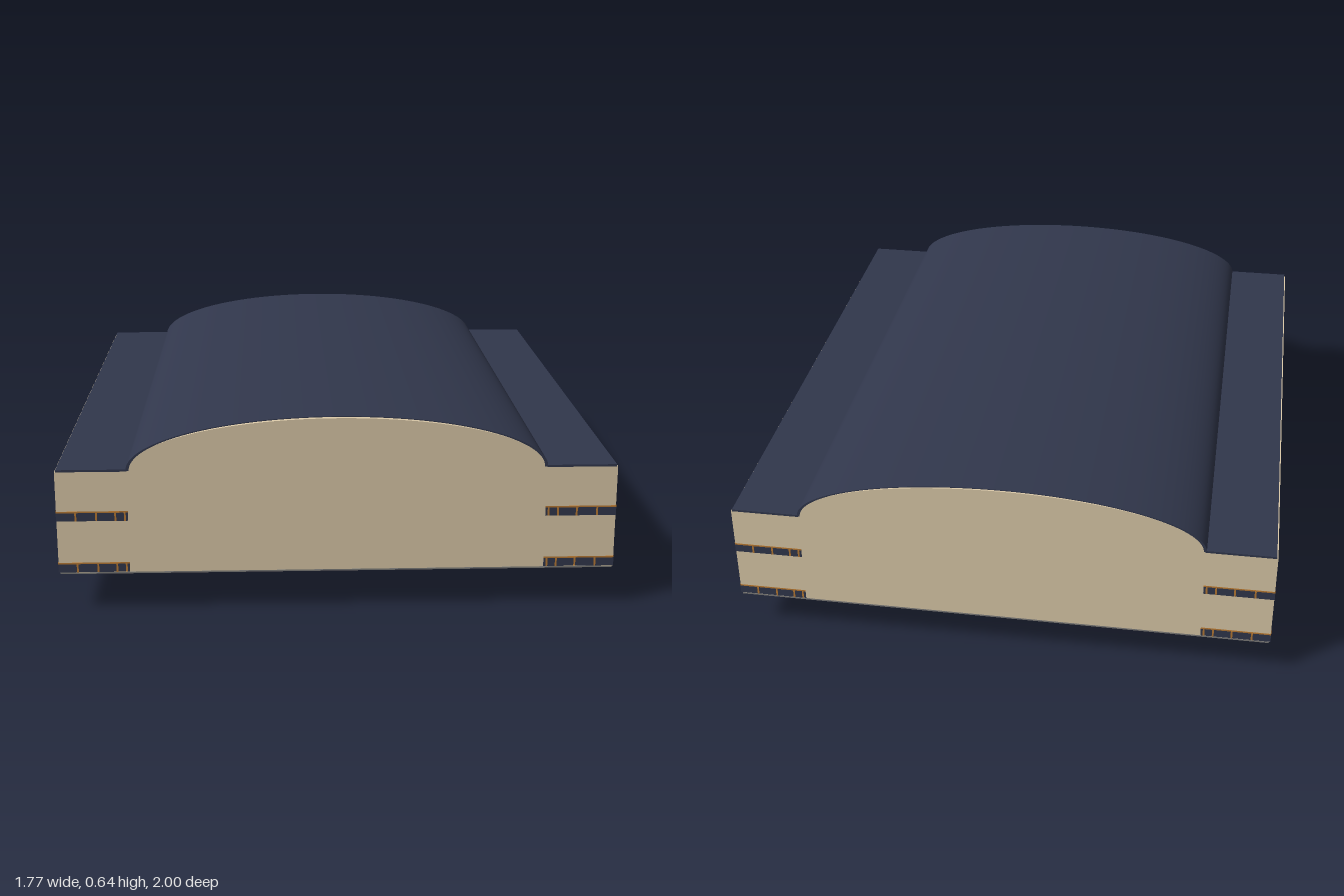
import * as THREE from 'three';

export function createModel() {
  const group = new THREE.Group();
  group.name = 'archedRoofBuilding';
  const mat = (name, color) => {
    const m = new THREE.MeshStandardMaterial({ color });
    m.name = name;
    return m;
  };
  const wall = mat('sandWall', 0xdccaa9);
  const navy = mat('navy', 0x31374c);
  const gold = mat('goldTrim', 0xb87a34);
  const pale = mat('paleTrim', 0xd8d4c8);
  const grey = mat('undersideGrey', 0x7c7b79);
  const brown = mat('undersideBrown', 0x7a4f3f);

  const W = 0.885, ROOF_W = 0.881, ARCH = 0.66, BASE = 0.131, EAVE = 0.465, RISE = 0.166;

  const add = (name, geometry, material) => {
    const m = new THREE.Mesh(geometry, material);
    m.name = name;
    group.add(m);
    return m;
  };
  // Box given by its lower and upper limits on each axis
  const box = (name, material, x0, x1, y0, y1, z0, z1) => {
    const m = add(name, new THREE.BoxGeometry(x1 - x0, y1 - y0, z1 - z0), material);
    m.position.set((x0 + x1) / 2, (y0 + y1) / 2, (z0 + z1) / 2);
  };

  // Walls: block with an elliptical gable
  const profile = new THREE.Shape();
  profile.moveTo(-W, BASE);
  profile.lineTo(W, BASE);
  profile.lineTo(W, EAVE);
  profile.lineTo(ARCH, EAVE);
  profile.absellipse(0, EAVE, ARCH, RISE, 0, Math.PI, false);
  profile.lineTo(-W, EAVE);
  const body = new THREE.ExtrudeGeometry(profile, { depth: 1.994, bevelEnabled: false, curveSegments: 48 });
  body.translate(0, 0, -0.997);
  add('walls', body, wall);

  // Roof: smooth arched skin with thin end rims, between two flat side strips
  const arch = new THREE.CylinderGeometry(1, 1, 1.996, 64, 1, true, Math.PI / 2, Math.PI);
  arch.rotateX(Math.PI / 2);
  arch.scale(ARCH + 0.003, RISE + 0.005, 1);
  arch.translate(0, EAVE + 0.002, 0);
  add('archedRoof', arch, navy);
  for (const turn of [0, Math.PI]) {
    const rim = new THREE.RingGeometry(0.985, 1, 64, 1, 0, Math.PI);
    rim.scale(ARCH + 0.003, RISE + 0.005, 1);
    rim.translate(0, EAVE + 0.002, 0.998);
    rim.rotateY(turn);
    add('roofRim', rim, navy);
  }
  for (const s of [-1, 1]) {
    const a = s * ARCH, b = s * ROOF_W;
    box('sideRoof', navy, Math.min(a, b), Math.max(a, b), EAVE, EAVE + 0.007, -0.998, 0.998);
  }

  // Underside: grey slab, brown panel and raised hatch
  box('undersideSlab', grey, -ROOF_W, ROOF_W, 0.126, BASE, -0.998, 0.998);
  box('undersidePanel', brown, -ARCH, ARCH, 0.1245, 0.127, -0.755, 0.66);
  box('hatch', brown, -0.385, 0.385, 0.1235, 0.125, -0.75, -0.317);

  // Window bands wrapping the four corners, with a gold rail and fine mullions
  const goldTicks = [0.765, 0.67, 0.61, 0.435, 0.354, 0.215, 0.06, -0.117, -0.175, -0.27,
    -0.435, -0.49, -0.59, -0.76, -0.79, -0.96];
  const paleTicks = [0.78, 0.448, 0.225, 0.118, -0.105, -0.447, -0.773];
  const endTicks = [0.67, 0.7, 0.76, 0.825];
  for (const y of [0.132, 0.303]) {
    const rail = y + 0.027, top = y + 0.034;
    for (const s of [-1, 1]) {
      const side = s * W;
      box('sideBand', navy, side - 0.001, side + 0.001, y, rail, -0.998, 0.998);
      box('sideRail', gold, side - 0.0012, side + 0.0012, rail, top, -0.998, 0.998);
      for (const [ticks, material] of [[goldTicks, gold], [paleTicks, pale]])
        for (const z of ticks)
          box('sideMullion', material, side - 0.0018, side + 0.0018, y, rail, z - 0.004, z + 0.004);
      for (const e of [-1, 1]) {
        const x0 = s > 0 ? ARCH : -W, x1 = s > 0 ? W : -ARCH, z = e * 0.997;
        box('endBand', navy, x0, x1, y, rail, z - 0.001, z + 0.001);
        box('endRail', gold, x0, x1, rail, top - 0.002, z - 0.0012, z + 0.0012);
        for (const t of endTicks)
          box('endMullion', gold, s * t - 0.003, s * t + 0.003, y, rail, z - 0.0018, z + 0.0018);
      }
    }
  }

  // Hanging flap under the rear, trimmed near its lower edge on both faces
  box('hangingFlap', navy, -0.385, 0.385, 0, 0.127, -0.776, -0.764);
  box('flapRail', gold, -0.385, 0.385, 0.029, 0.036, -0.7768, -0.7632);
  for (const x of [-0.29, -0.225, -0.115, -0.068, -0.05, 0.04, 0.06, 0.11, 0.217, 0.283, 0.37])
    box('flapMullion', gold, x - 0.003, x + 0.003, 0.006, 0.029, -0.777, -0.763);

  return group;
}
